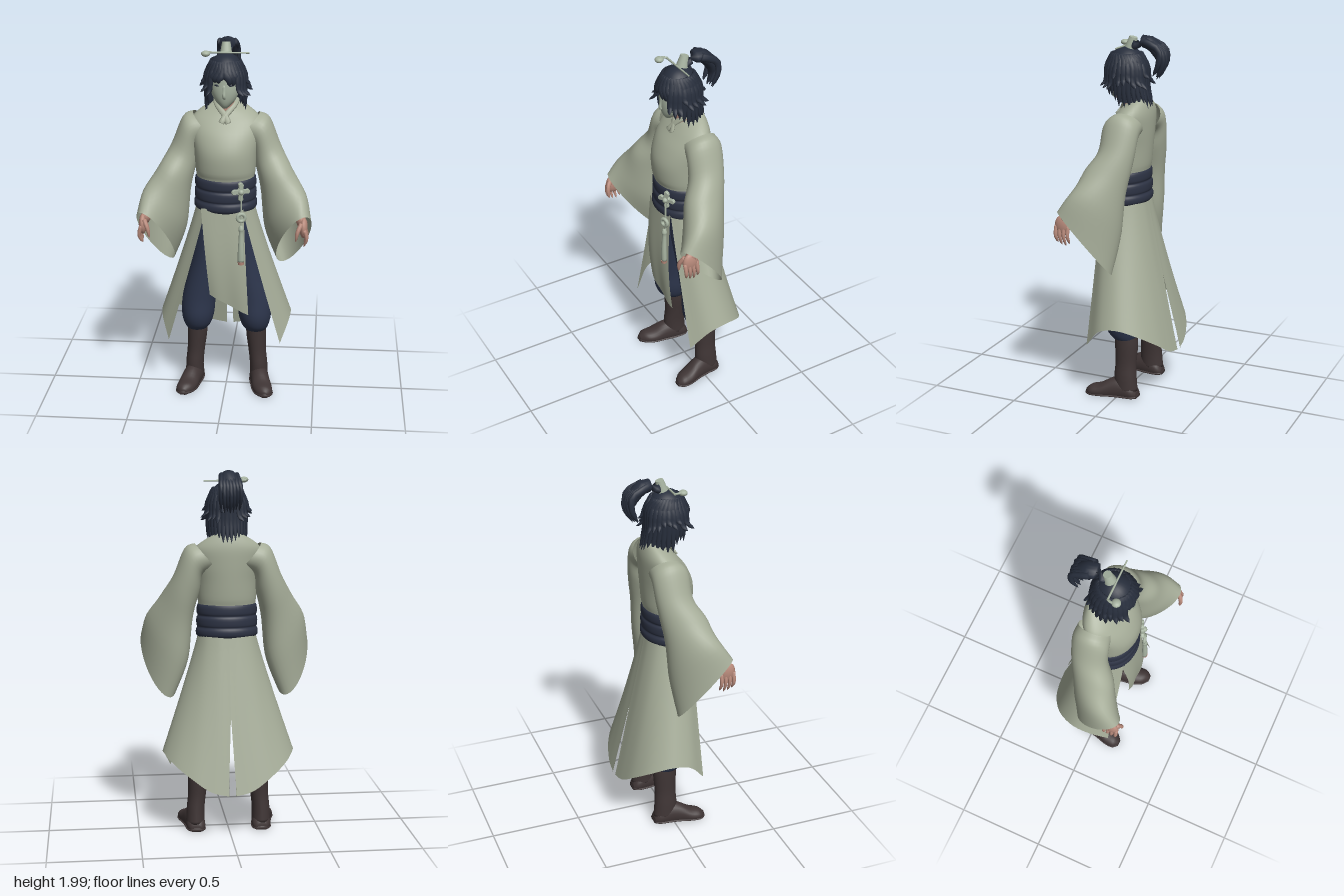
import * as THREE from 'three';

const mat = (name, color, side = THREE.DoubleSide) => {
  const m = new THREE.MeshStandardMaterial({ color, side });
  m.name = name;
  return m;
};
const V = (x, y, z) => new THREE.Vector3(x, y, z);
const hash = (i) => { const s = Math.sin(i * 127.1 + 3.7) * 43758.5; return s - Math.floor(s); };

// Horizontal elliptical ring: centre, half-axis u (x), half-axis v (z)
const R = (y, cx, cz, rx, rz, tilt = 0) => [cx, y, cz, rx, 0, 0, 0, tilt, rz];

function build(pos, idx) {
  const g = new THREE.BufferGeometry();
  g.setAttribute('position', new THREE.Float32BufferAttribute(pos, 3));
  g.setIndex(idx);
  g.computeVertexNormals();
  return g;
}

// Smooth skin through rings [centre, u, v]; optional arc, end caps and floor clamp
function loft(rings, { n = 24, sub = 4, caps = true, arc = null, floor = -1 } = {}) {
  const pos = [], idx = [], last = rings.length - 1, rows = last * sub;
  const cr = (a, b, c, d, t) => 0.5 * (2 * b + (c - a) * t + (2 * a - 5 * b + 4 * c - d) * t * t + (3 * b - a - 3 * c + d) * t ** 3);
  const at = (s) => {
    const i = Math.min(Math.floor(s), last - 1), t = s - i;
    const r = (k) => rings[Math.max(0, Math.min(last, k))];
    return r(i).map((_, k) => cr(r(i - 1)[k], r(i)[k], r(i + 1)[k], r(i + 2)[k], t));
  };
  const cols = arc ? n + 1 : n, [a0, a1] = arc || [0, Math.PI * 2];
  for (let i = 0; i <= rows; i++) {
    const q = at(i / sub);
    for (let j = 0; j < cols; j++) {
      const a = a0 + (a1 - a0) * j / n, c = Math.cos(a), s = Math.sin(a);
      pos.push(q[0] + q[3] * c + q[6] * s, Math.max(floor, q[1] + q[4] * c + q[7] * s), q[2] + q[5] * c + q[8] * s);
    }
  }
  for (let i = 0; i < rows; i++) for (let j = 0; j < n; j++) {
    const k = (j + 1) % cols, a = i * cols + j, b = i * cols + k;
    idx.push(a, b, a + cols, b, b + cols, a + cols);
  }
  if (caps && !arc) for (const e of [0, rows]) {
    const c = pos.length / 3, r = rings[e ? last : 0];
    pos.push(r[0], Math.max(floor, r[1]), r[2]);
    for (let j = 0; j < n; j++) {
      const a = e * n + j, b = e * n + (j + 1) % n;
      e ? idx.push(c, a, b) : idx.push(c, b, a);
    }
  }
  return build(pos, idx);
}

// Open sheet from a rule f(u, v) -> Vector3
function sheet(f, nu, nv) {
  const pos = [], idx = [], w = nu + 1;
  for (let i = 0; i <= nv; i++) for (let j = 0; j <= nu; j++) pos.push(...f(j / nu, i / nv).toArray());
  for (let i = 0; i < nv; i++) for (let j = 0; j < nu; j++) {
    const a = i * w + j;
    idx.push(a, a + w, a + 1, a + 1, a + w, a + w + 1);
  }
  return build(pos, idx);
}

// Flattened strand along points; r(s) gives thickness along its length
function strand(pts, out, width, thick, r = (s) => Math.sqrt(1 - s * s) + 0.01, n = 8) {
  const c = new THREE.CatmullRomCurve3(pts), rings = [];
  for (let i = 0; i <= 8; i++) {
    const s = i / 8, p = c.getPoint(s), t = c.getTangent(s), k = r(s);
    const v = t.clone().cross(out).normalize(), u = v.clone().cross(t).normalize();
    rings.push([...p.toArray(), ...u.multiplyScalar(thick * k).toArray(), ...v.multiplyScalar(width * k).toArray()]);
  }
  return loft(rings, { n, sub: 1 });
}

function mirrored(geo) {
  const g = geo.clone().scale(-1, 1, 1);
  if (!g.index) g.setIndex([...Array(g.attributes.position.count).keys()]);
  const a = g.index.array;
  for (let i = 0; i < a.length; i += 3) [a[i], a[i + 1]] = [a[i + 1], a[i]];
  g.computeVertexNormals();
  return g;
}

export function createModel() {
  const root = new THREE.Group();
  const robe = mat('sage cloth', 0xa6ad99), navy = mat('navy sash', 0x2d3344), hairM = mat('dark hair', 0x272e3c);
  const trouser = mat('blue trousers', 0x2e374e), boot = mat('brown leather', 0x3f3535);
  const skin = mat('skin', 0xb98b7c), pale = mat('pale jade', 0xa7b3a1);
  const add = (name, geo, m) => {
    const mesh = new THREE.Mesh(geo, m);
    mesh.name = name;
    root.add(mesh);
    return mesh;
  };
  const pair = (name, geo, m) => { add('left ' + name, geo, m); add('right ' + name, mirrored(geo), m); };

  // Robe body, lapels and sash
  add('robe body', loft([
    R(1.645, 0, -0.02, 0.062, 0.06, -0.03), R(1.615, 0, -0.018, 0.13, 0.078, -0.025), R(1.565, 0, -0.01, 0.185, 0.1, -0.01),
    R(1.49, 0, 0.015, 0.185, 0.125), R(1.4, 0, 0.035, 0.17, 0.14), R(1.3, 0, 0.038, 0.162, 0.135),
    R(1.24, 0, 0.035, 0.155, 0.122), R(1.08, 0, 0.03, 0.15, 0.12)], { n: 36, caps: false }), robe);
  pair('lapel', strand([V(0.058, 1.665, -0.04), V(0.045, 1.645, 0.025), V(0.005, 1.6, 0.062), V(-0.02, 1.56, 0.088)], V(0, 0.4, 1), 0.016, 0.008, () => 1), robe);
  const wraps = [[1.265, 0.155], [1.25, 0.165], [1.215, 0.166], [1.2, 0.16], [1.185, 0.168], [1.15, 0.168], [1.137, 0.163], [1.12, 0.171], [1.095, 0.17], [1.08, 0.158]];
  add('sash', loft(wraps.map(([y, r]) => R(y, 0, 0.035, r, r - 0.034, -0.006)), { n: 36, sub: 3 }), navy);

  // Wide sleeves
  pair('sleeve', loft([
    [0.12, 1.53, -0.015, 0.06, 0.07, 0, 0, 0, 0.09],
    [0.185, 1.5, -0.01, 0.05, 0.07, 0, 0, 0, 0.1],
    [0.225, 1.38, 0, 0.07, 0.045, 0, 0, 0, 0.1],
    [0.272, 1.26, 0.04, 0.085, 0.055, 0.03, -0.01, 0, 0.115],
    [0.325, 1.08, 0.075, 0.095, 0.115, 0.1, -0.06, -0.02, 0.085],
    [0.375, 0.925, 0.115, 0.06, 0.175, 0.13, -0.075, 0, 0.045]], { n: 32, sub: 5, caps: false }), robe);

  // Hands
  pair('forearm', strand([V(0.34, 1.18, 0.08), V(0.38, 1.12, 0.15), V(0.425, 1.05, 0.21)], V(1, 0, 0), 0.032, 0.028, () => 1, 12), skin);
  pair('palm', new THREE.SphereGeometry(1, 16, 12).scale(0.022, 0.055, 0.045).translate(0.43, 1.03, 0.215), skin);
  for (let i = 0; i < 4; i++) {
    const z = 0.18 + i * 0.023, low = 0.915 + Math.abs(i - 1.3) * 0.012;
    pair('finger ' + (i + 1), strand([V(0.435, 1.03, z), V(0.447, 0.975, z), V(0.432, low, z - 0.008)], V(1, 0, 0), 0.0115, 0.011), skin);
  }
  pair('thumb', strand([V(0.42, 1.06, 0.24), V(0.4, 1.02, 0.262), V(0.39, 0.965, 0.262)], V(1, 0, 0), 0.014, 0.013), skin);

  // Flared skirt, split at the back and open at the front
  const top = new THREE.CatmullRomCurve3([[0, -0.09], [0.06, -0.085], [0.12, -0.055], [0.152, 0], [0.157, 0.05], [0.14, 0.1], [0.1, 0.142]].map(([x, z]) => V(x, 1.1, z)));
  const hem = new THREE.CatmullRomCurve3([V(0, 0.25, -0.28), V(0.11, 0.275, -0.27), V(0.22, 0.345, -0.235), V(0.31, 0.41, -0.165), V(0.36, 0.45, -0.06), V(0.357, 0.43, 0.04), V(0.31, 0.32, 0.142)]);
  pair('skirt', sheet((u, v) => {
    const a = top.getPoint(u), b = hem.getPoint(u), w = v ** 1.06;
    const slit = u === 0 ? 0.022 * Math.max(0, v * 2 - 1) : 0;
    return V(a.x + (b.x - a.x) * w + slit, a.y + (b.y - a.y) * v, a.z + (b.z - a.z) * w);
  }, 36, 16), robe);
  add('front panel', sheet((u, v) => {
    const x = THREE.MathUtils.lerp(-0.125 + 0.048 * v, 0.105 + 0.03 * v, u);
    return V(x, 1.1 - v * (0.49 + 0.12 * u), 0.157 + 0.026 * Math.sin(v * 2.6) - 0.9 * x * x + 0.004 * Math.sin(u * 9) * v);
  }, 16, 14), robe);

  // Trousers and boots
  pair('trouser leg', loft([
    R(1.12, 0.06, 0.03, 0.08, 0.09), R(0.95, 0.08, 0.02, 0.085, 0.105), R(0.75, 0.11, 0.005, 0.085, 0.1), R(0.55, 0.15, -0.005, 0.093, 0.1),
    R(0.44, 0.16, -0.01, 0.092, 0.105), R(0.375, 0.163, -0.015, 0.078, 0.09), R(0.34, 0.166, -0.025, 0.06, 0.068)]), trouser);
  pair('boot shaft', loft([
    R(0.375, 0.166, -0.03, 0.056, 0.066), R(0.3, 0.168, -0.035, 0.056, 0.066), R(0.2, 0.175, -0.035, 0.05, 0.06),
    R(0.12, 0.183, -0.035, 0.05, 0.064), R(0.04, 0.185, -0.04, 0.052, 0.066)]), boot);
  const foot = [[-0.108, 0.182, 0.03, 0.036], [-0.08, 0.183, 0.05, 0.075], [-0.02, 0.187, 0.053, 0.11], [0.04, 0.198, 0.053, 0.1], [0.1, 0.212, 0.056, 0.066], [0.15, 0.224, 0.046, 0.054], [0.18, 0.23, 0.016, 0.03]];
  pair('boot foot', loft(foot.map(([z, x, rx, h]) => [x, h * 0.35, z, rx, 0, 0, 0, h * 0.65, 0]), { floor: 0 }), boot);
  const sole = foot.map(([z, x, rx]) => [x, 0.008, z * 1.01, rx + 0.003, 0, 0, 0, 0.012, 0]);
  pair('boot sole', loft(sole, { floor: 0 }), boot);

  // Head, pale face, neck and ears
  const skull = [[1.91, 0.04, 0.04, 0.05], [1.86, 0.045, 0.075, 0.085], [1.78, 0.05, 0.08, 0.086], [1.73, 0.056, 0.074, 0.08], [1.69, 0.066, 0.055, 0.064], [1.662, 0.078, 0.03, 0.041], [1.645, 0.088, 0.01, 0.016]];
  add('head', loft(skull.map(([y, z, rx, rz]) => R(y, 0, z, rx, rz))), skin);
  add('face', loft(skull.map(([y, z, rx, rz]) => R(y - 0.001, 0, z, rx + 0.003, rz + 0.003)), { arc: [0.1 * Math.PI, 0.9 * Math.PI] }), pale);
  add('nose', strand([V(0, 1.775, 0.132), V(0, 1.74, 0.138), V(0, 1.715, 0.143), V(0, 1.705, 0.13)], V(0, 0, 1), 0.009, 0.008, () => 1), pale);
  pair('eye', strand([V(0.02, 1.768, 0.134), V(0.037, 1.773, 0.13), V(0.056, 1.772, 0.116)], V(0, 0, 1), 0.005, 0.003, (s) => Math.sin(Math.PI * s) + 0.05), hairM);
  pair('ear', new THREE.SphereGeometry(1, 10, 8).scale(0.012, 0.03, 0.02).translate(0.082, 1.755, 0.03), skin);
  add('neck', new THREE.CylinderGeometry(0.042, 0.05, 0.16, 20).translate(0, 1.645, 0.005), skin);

  // Hair: cap, nape sheet, then layered locks
  add('hair cap', new THREE.SphereGeometry(1, 32, 16, 0, Math.PI * 2, 0, Math.PI / 2).rotateX(-0.4).scale(0.103, 0.128, 0.112).translate(0, 1.8, 0.035), hairM);
  const onHead = (a, y, k) => {
    const rr = k * Math.sqrt(Math.max(0, 1 - (Math.max(0, y - 1.8) / 0.13) ** 2));
    return V(0.1 * rr * Math.sin(a), y, 0.035 + 0.11 * rr * Math.cos(a));
  };
  add('nape hair', sheet((u, v) => {
    const p = onHead(Math.PI * (0.5 + u), 1.85 - 0.21 * v, 1 + 0.2 * v * v);
    p.x *= 1 - 0.2 * v;
    return p;
  }, 20, 8), hairM);
  for (let i = 0; i < 30; i++) {
    const a = ((i + 0.5) / 30 * 2 - 1) * Math.PI, f = Math.abs(a) / Math.PI, j = hash(i), out = V(Math.sin(a), 0, Math.cos(a));
    const tipY = (f < 0.2 ? 1.775 : f < 0.3 ? 1.72 : f < 0.45 ? 1.655 : 1.61) + 0.025 * (j - 0.3);
    const tipK = f < 0.45 ? 1.02 : 1.32, lean = a + (f < 0.2 ? 0.16 * Math.sign(a) : 0);
    const tip = onHead(lean, tipY, tipK);
    if (f > 0.45) tip.x *= 0.8;
    add('hair lock', strand([onHead(a * 0.9, 1.89, 0.98), onHead(a, 1.83, 1.02), onHead(lean, (1.83 + tipY) / 2, 1.05 + 0.03 * j), tip], out, 0.021, 0.012), hairM);
    if (f > 0.22 && f < 0.9) add('flared hair lock', strand([onHead(a, 1.89, 0.95), onHead(a, 1.82, 1.06), onHead(a, 1.785 - 0.05 * j, 1.16), onHead(a + 0.06, 1.77 - 0.06 * j, 1.36 + 0.12 * j)], out, 0.02, 0.012), hairM);
  }
  const tail = [V(0, 1.92, 0.005), V(0, 1.957, -0.045), V(0, 1.95, -0.105), V(0, 1.9, -0.15), V(0, 1.84, -0.165), V(0, 1.775, -0.135)];
  add('ponytail', strand(tail, V(0, 0.5, -1), 0.054, 0.042, (s) => 0.45 + 0.6 * Math.sin(Math.PI * Math.min(1, s * 1.05)) - 0.4 * s, 16), hairM);
  for (let i = 0; i < 7; i++) {
    const x = (i - 3) * 0.014, d = 0.025 * (hash(i + 40) - 0.5);
    add('ponytail lock', strand([V(x, 1.965, -0.08), V(x * 1.2, 1.92, -0.165), V(x * 1.3, 1.85, -0.175 + d), V(x * 1.1, 1.775 + d, -0.14 + d)], V(0, 0.3, -1), 0.014, 0.02), hairM);
  }

  // Hair crown and long pin
  add('hair crown', new THREE.CylinderGeometry(0.022, 0.032, 0.06, 16).rotateX(-0.25).translate(0, 1.95, 0.005), pale);
  add('hair pin', new THREE.CylinderGeometry(0.006, 0.004, 0.23, 10).rotateZ(Math.PI / 2).translate(0.01, 1.93, 0.045), pale);
  add('pin stem', strand([V(-0.1, 1.93, 0.045), V(-0.108, 1.935, 0.065), V(-0.1, 1.935, 0.09)], V(0, 1, 0), 0.007, 0.006, () => 1), pale);
  add('pin bead', new THREE.SphereGeometry(1, 14, 10).scale(0.024, 0.016, 0.024).translate(-0.1, 1.932, 0.09), pale);

  // Sash ornament: four-petal brooch, ring pendant and tassel
  const star = new THREE.Shape();
  for (let i = 0; i <= 48; i++) {
    const a = i / 48 * Math.PI * 2, r = 0.02 + 0.03 * Math.abs(Math.cos(2 * a)) ** 1.5 * (Math.cos(4 * a) > -0.9 && Math.round(a / (Math.PI / 4)) % 2 === 0 ? 1 : 0.1);
    i ? star.lineTo(r * Math.cos(a), r * Math.sin(a)) : star.moveTo(r, 0);
  }
  add('brooch', new THREE.ExtrudeGeometry(star, { depth: 0.012, bevelSize: 0.002, bevelThickness: 0.003, bevelSegments: 1 }).rotateY(0.45).translate(0.088, 1.205, 0.156), pale);
  add('brooch centre', new THREE.SphereGeometry(0.015, 14, 10).translate(0.094, 1.205, 0.173), pale);
  add('cord', new THREE.CylinderGeometry(0.005, 0.005, 0.2, 8).translate(0.095, 1.11, 0.172), pale);
  add('pendant', new THREE.TorusGeometry(0.02, 0.01, 10, 20).rotateY(0.3).translate(0.095, 1.065, 0.178), pale);
  add('tassel', loft([R(1.02, 0.095, 0.18, 0.008, 0.008), R(1.0, 0.095, 0.18, 0.015, 0.015), R(0.975, 0.095, 0.18, 0.012, 0.012), R(0.88, 0.095, 0.184, 0.017, 0.015), R(0.815, 0.095, 0.184, 0.018, 0.015)], { n: 14 }), pale);
  add('tassel tip', new THREE.CylinderGeometry(0.018, 0.016, 0.016, 14).translate(0.095, 0.808, 0.184), skin);

  return root;
}
